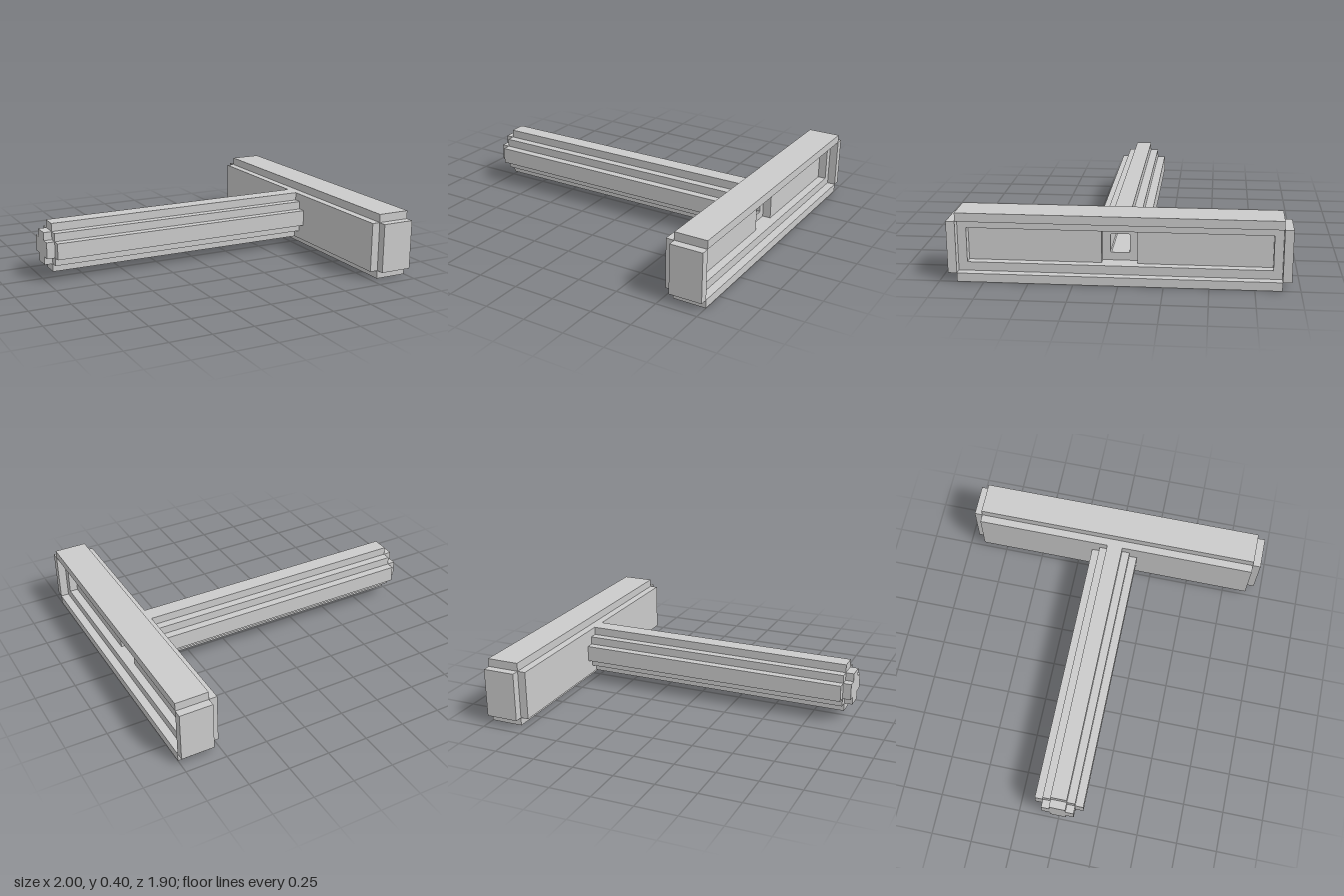
import * as THREE from 'three';

const material = new THREE.MeshStandardMaterial({ color: 0xcccccc, flatShading: true });
const AXIS_Y = 0.2; // height of the shaft axis

// Rectangle centred on the axis, given half sizes in z and y
const rect = (a, b) => [[a, b], [-a, b], [-a, -b], [a, -b]];

// Mirrors the first-quadrant corners into a closed four-way symmetric outline
function stepped(quarter) {
  const flip = [...quarter].reverse();
  return [
    ...quarter,
    ...flip.map(([a, b]) => [-a, b]),
    ...quarter.map(([a, b]) => [-a, -b]),
    ...flip.map(([a, b]) => [a, -b]),
  ];
}

const toPoints = (list) => list.map(([a, b]) => new THREE.Vector2(a, b));

// Extrudes a cross-section along x from x0 to x1
function prism(name, outline, x0, x1, hole) {
  const shape = new THREE.Shape(toPoints(outline));
  if (hole) shape.holes.push(new THREE.Path(toPoints(hole)));
  const geometry = new THREE.ExtrudeGeometry(shape, { depth: x1 - x0, bevelEnabled: false });
  geometry.rotateY(Math.PI / 2);
  geometry.translate(x0, AXIS_Y, 0);
  const mesh = new THREE.Mesh(geometry, material);
  mesh.name = name;
  return mesh;
}

function box(name, w, h, d, x, y, z) {
  const mesh = new THREE.Mesh(new THREE.BoxGeometry(w, h, d), material);
  mesh.position.set(x, y, z);
  mesh.name = name;
  return mesh;
}

export function createModel() {
  const model = new THREE.Group();
  model.name = 'crossHeadShaft';

  // Square bore with slightly clipped corners
  const bore = stepped([[0.055, 0.049], [0.049, 0.055]]);

  // Head: outer plates around an open face, with a stepped recess inside
  const head = new THREE.Group();
  head.name = 'head';
  for (const s of [1, -1]) {
    head.add(box(s > 0 ? 'topPlate' : 'bottomPlate', 0.2, 0.05, 1.8, 0.9, AXIS_Y + s * 0.175, 0));
    head.add(box(s > 0 ? 'frontEndPlate' : 'backEndPlate', 0.2, 0.3, 0.05, 0.9, AXIS_Y, s * 0.925));
  }
  head.add(prism('innerRim', rect(0.9, 0.15), 0.9, 0.95, rect(0.85, 0.1)));
  head.add(prism('innerPanel', rect(0.9, 0.15), 0.85, 0.9, rect(0.1, 0.1)));
  head.add(prism('backPlate', rect(0.9, 0.15), 0.75, 0.85, bore));
  model.add(head);

  // Shaft: stepped round section, closed by a smaller cross-shaped tip
  const shaft = new THREE.Group();
  shaft.name = 'shaft';
  const section = stepped([[0.15, 0.05], [0.1, 0.05], [0.1, 0.1], [0.05, 0.1], [0.05, 0.15]]);
  shaft.add(prism('shaftBody', section, -0.95, 0.75, bore));
  shaft.add(prism('shaftTip', stepped([[0.1, 0.05], [0.05, 0.05], [0.05, 0.1]]), -1, -0.95));
  // Plug behind the tip keeps the bore closed
  shaft.add(box('borePlug', 0.04, 0.11, 0.11, -0.93, AXIS_Y, 0));
  model.add(shaft);

  return model;
}
